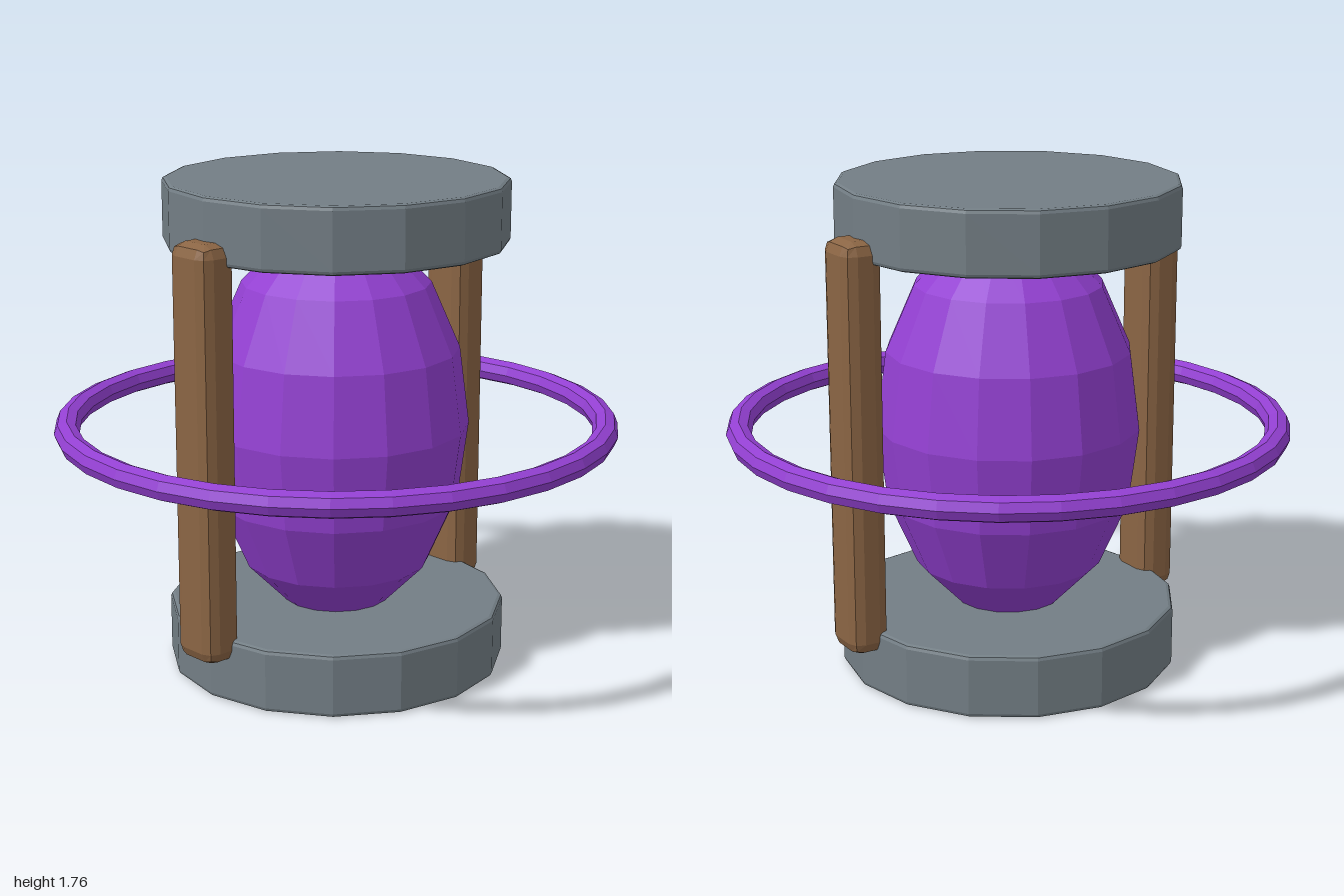
import * as THREE from 'three';
import { RoundedBoxGeometry } from 'three/addons/geometries/RoundedBoxGeometry.js';

function material(name, color) {
  const m = new THREE.MeshStandardMaterial({ color, flatShading: true });
  m.name = name;
  return m;
}

export function createModel() {
  const group = new THREE.Group();
  const stone = material('slate grey', 0x737e85);
  const wood = material('brown wood', 0x8b6544);
  const purple = material('purple', 0x9340d2);
  const midY = 0.88;

  function add(name, geometry, mat, x, y, z) {
    const mesh = new THREE.Mesh(geometry, mat);
    mesh.name = name;
    mesh.position.set(x, y, z);
    group.add(mesh);
    return mesh;
  }

  // Sixteen-sided discs with a small bevel, at the bottom and top
  const r = 0.605, h = 0.227, b = 0.015;
  const profile = [
    [0, 0], [r - b, 0], [r - b * 0.3, b * 0.3], [r, b],
    [r, h - b], [r - b * 0.3, h - b * 0.3], [r - b, h], [0, h],
  ].map(([x, y]) => new THREE.Vector2(x, y));
  const disc = new THREE.LatheGeometry(profile, 16);
  add('baseDisc', disc, stone, 0, 0, 0);
  add('topDisc', disc, stone, 0, 1.53, 0);

  // Faceted egg-shaped core between the discs
  const core = new THREE.SphereGeometry(1, 16, 8).scale(0.472, 0.72, 0.472);
  add('core', core, purple, 0, midY, 0);

  // Bevelled posts on both sides
  const post = new RoundedBoxGeometry(0.146, 1.46, 0.187, 1, 0.045);
  for (const side of [1, -1]) {
    add(side > 0 ? 'leftPost' : 'rightPost', post, wood, side * 0.612, midY, 0);
  }

  // Thin ring circling the middle
  const ring = new THREE.TorusGeometry(0.955, 0.045, 8, 32).rotateX(Math.PI / 2);
  add('orbitRing', ring, purple, 0, midY, 0);

  return group;
}
